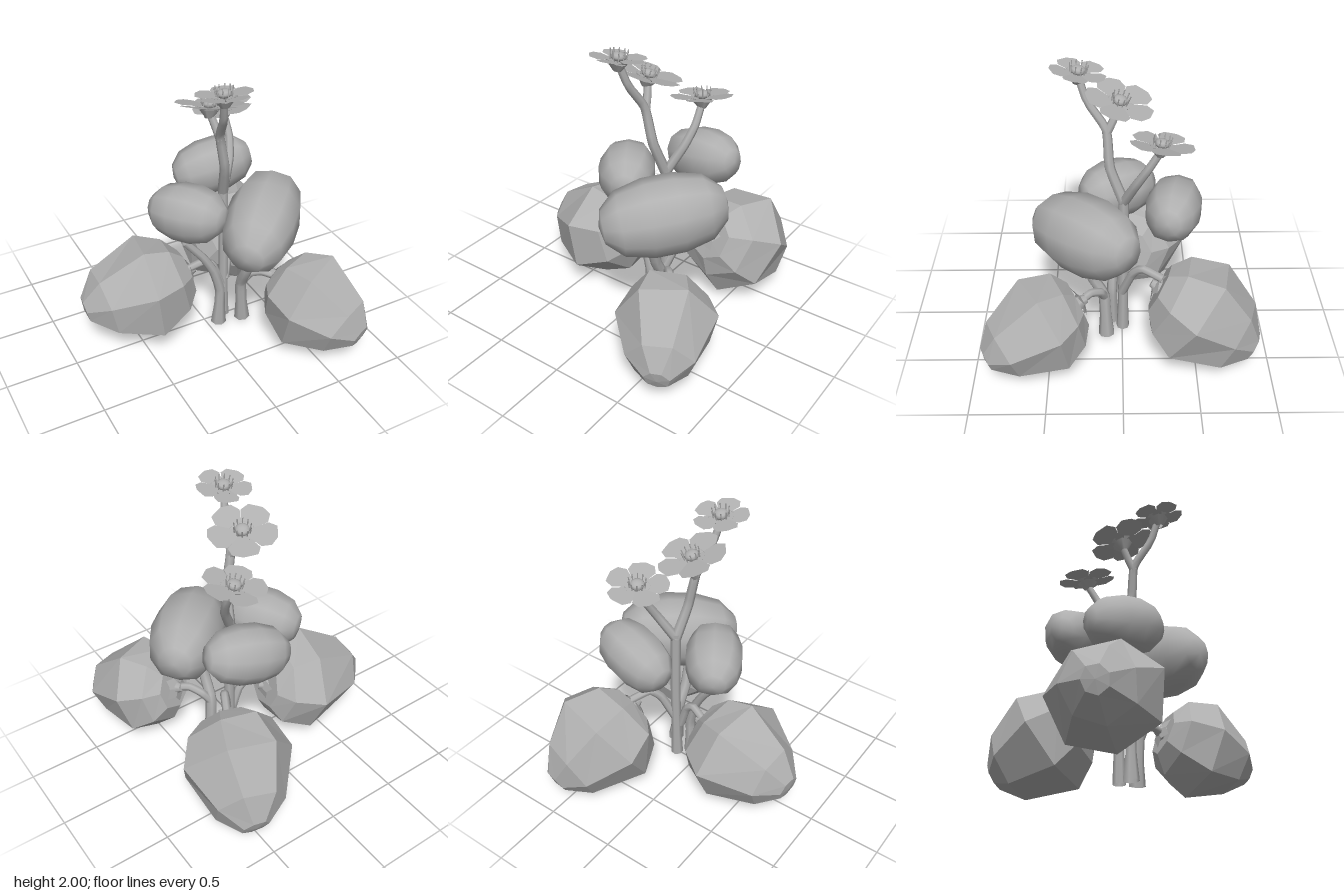
import * as THREE from 'three';
import { mergeVertices } from 'three/addons/utils/BufferGeometryUtils.js';

const grey = new THREE.MeshStandardMaterial({ color: 0xb0b0b0, side: THREE.DoubleSide });
grey.name = 'plain grey';
const UP = new THREE.Vector3(0, 1, 0);
const vec = (a) => new THREE.Vector3(...a);

function add(parent, name, geometry) {
  const mesh = new THREE.Mesh(geometry, grey);
  mesh.name = name;
  parent.add(mesh);
  return mesh;
}

// Group whose local y axis points along dir
function aimed(parent, name, pos, dir) {
  const g = new THREE.Group();
  g.name = name;
  g.position.set(...pos);
  g.quaternion.setFromUnitVectors(UP, vec(dir).normalize());
  parent.add(g);
  return g;
}

// Tapered, slightly kinked tube with an optional flared foot
function stem(parent, name, points, r0, r1, foot = 0) {
  const curve = new THREE.CatmullRomCurve3(points.map(vec), false, 'catmullrom', 0.25);
  const segs = 14, sides = 7;
  const geo = new THREE.TubeGeometry(curve, segs, 1, sides, false);
  const pos = geo.attributes.position, p = new THREE.Vector3();
  for (let i = 0; i <= segs; i++) {
    const t = i / segs, c = curve.getPointAt(t);
    const r = r0 + (r1 - r0) * t + foot * Math.max(0, 1 - t * 5);
    for (let j = 0; j <= sides; j++) {
      const k = i * (sides + 1) + j;
      p.fromBufferAttribute(pos, k).sub(c).multiplyScalar(r).add(c);
      pos.setXYZ(k, p.x, p.y, p.z);
    }
  }
  return add(parent, name, geo);
}

// Pointed leaf outline growing along +y
function leafShape(base, width, length) {
  const s = new THREE.Shape();
  s.moveTo(-base, 0);
  s.lineTo(-width, length * 0.45);
  s.lineTo(0, length);
  s.lineTo(width, length * 0.45);
  s.lineTo(base, 0);
  return s;
}

// Broad angular petal outline growing along +y
function petalShape(base, width, length) {
  const s = new THREE.Shape();
  s.moveTo(-base, 0);
  s.lineTo(-width, length * 0.55);
  s.lineTo(-width * 0.8, length * 0.88);
  s.lineTo(-width * 0.15, length);
  s.lineTo(width * 0.15, length * 0.97);
  s.lineTo(width * 0.8, length * 0.88);
  s.lineTo(width, length * 0.55);
  s.lineTo(base, 0);
  return s;
}

// Ring of flat blades around local y, lifted by the given angle
function bladeRing(parent, name, shape, radius, lift, phase, y) {
  for (let i = 0; i < 5; i++) {
    const geo = new THREE.ShapeGeometry(shape);
    geo.rotateX(Math.PI / 2 - lift);
    geo.translate(0, y + (i % 2) * 0.004, radius);
    geo.rotateY(phase + (i * Math.PI * 2) / 5);
    add(parent, name, geo);
  }
}

// Faceted fruit, base at the origin and tip along +y, with its calyx
function fruit(parent, name, pos, dir, size, length, spin) {
  const g = aimed(parent, name, pos, dir);
  const profile = [[0, 0], [0.17, 0], [0.29, 0.09], [0.38, 0.3], [0.24, 0.63], [0.09, 0.77], [0, 0.78]];
  const pts = profile.map(([r, y]) => new THREE.Vector2(r * size, (y * length) / 0.78));
  let geo = new THREE.LatheGeometry(pts, 7);
  const p = geo.attributes.position;
  for (let i = 0; i < p.count; i++) { // slight lumpiness
    const x = p.getX(i), y = p.getY(i), z = p.getZ(i), a = Math.atan2(x, z);
    const k = 1 + 0.04 * Math.sin(2 * a + y * 6 + spin);
    p.setXYZ(i, x * k, y + 0.025 * Math.sin(a + y * 9) * Math.hypot(x, z) / 0.37, z * k);
  }
  geo = geo.toNonIndexed();
  geo.computeVertexNormals();
  add(g, 'fruitBody', geo).rotation.y = spin;
  bladeRing(g, 'calyxLeaf', leafShape(0.025, 0.042, 0.1), 0.02, 0.3, spin, -0.04);
  add(g, 'calyxCup', new THREE.CylinderGeometry(0.055, 0.028, 0.07, 7)).position.y = -0.03;
}

// Smooth plump leaf: a rounded block, long along x
function plumpLeaf(parent, name, pos, half, yaw, roll) {
  let geo = new THREE.SphereGeometry(1, 10, 7);
  geo.rotateZ(Math.PI / 2);
  const p = geo.attributes.position, n = 2.45;
  for (let i = 0; i < p.count; i++) {
    const v = [p.getX(i), p.getY(i), p.getZ(i)];
    const k = Math.pow(v.reduce((s, c) => s + Math.pow(Math.abs(c), n), 0), -1 / n);
    p.setXYZ(i, ...v.map((c, j) => c * k * half[j]));
  }
  geo.deleteAttribute('uv');
  geo.deleteAttribute('normal');
  geo = mergeVertices(geo, 1e-4);
  geo.computeVertexNormals();
  const mesh = add(parent, name, geo);
  mesh.position.set(...pos);
  mesh.rotation.set(0, yaw, roll);
}

// Five-petalled flower with dome, stamens and cup
function flower(parent, name, pos, dir, r, phase) {
  const g = aimed(parent, name, pos, dir);
  bladeRing(g, 'petal', petalShape(0.03, r * 0.46, r - 0.03), 0.04, 0.12, phase, -0.02);
  add(g, 'flowerCentre', new THREE.SphereGeometry(0.05, 10, 6)).scale.y = 0.6;
  add(g, 'flowerCup', new THREE.CylinderGeometry(0.085, 0.025, 0.075, 8, 1, true)).position.y = -0.052;
  bladeRing(g, 'sepal', leafShape(0.025, 0.035, 0.08), 0.045, 0.1, phase + 0.63, -0.035);
  for (let i = 0; i < 10; i++) {
    const a = (i / 10) * Math.PI * 2;
    const s = add(g, 'stamen', new THREE.CylinderGeometry(0.004, 0.004, 0.06, 5));
    s.position.set(Math.sin(a) * 0.055, 0.015, Math.cos(a) * 0.055);
    s.rotation.set(Math.cos(a) * 0.12, 0, -Math.sin(a) * 0.12);
  }
}

export function createModel() {
  const plant = new THREE.Group();
  plant.name = 'fruitingPlant';

  // Stalks rising from the ground
  stem(plant, 'leftStalk', [[0.08, 0.02, 0.07], [0.09, 0.3, 0.07], [0.04, 0.48, 0.065], [-0.04, 0.62, 0.055], [-0.17, 0.78, 0.04]], 0.042, 0.026, 0.015);
  stem(plant, 'mainStalk', [[0.16, 0.015, -0.005], [0.16, 0.6, -0.01], [0.15, 1.12, -0.01]], 0.036, 0.036, 0.01);
  stem(plant, 'rightStalk', [[0.255, 0.03, 0.11], [0.23, 0.35, 0.125], [0.225, 0.5, 0.2], [0.24, 0.74, 0.28]], 0.044, 0.036, 0.014);

  // Fruit branches
  stem(plant, 'leftFruitBranch', [[0.13, 0.3, 0.01], [0.07, 0.48, 0], [0, 0.53, -0.01], [-0.14, 0.47, -0.05]], 0.032, 0.027);
  stem(plant, 'backFruitBranch', [[0.17, 0.34, 0], [0.24, 0.55, -0.07], [0.29, 0.63, -0.14], [0.36, 0.6, -0.27]], 0.032, 0.028);
  stem(plant, 'frontFruitBranch', [[0.23, 0.34, 0.12], [0.29, 0.43, 0.15], [0.35, 0.47, 0.22], [0.43, 0.45, 0.3]], 0.031, 0.028);

  // Fruits
  fruit(plant, 'leftFruit', [-0.12, 0.46, -0.05], [-0.97, -0.16, -0.1], 1, 0.765, 0.3);
  fruit(plant, 'backFruit', [0.365, 0.53, -0.25], [0.26, -0.47, -0.84], 1.04, 0.76, 0.9);
  fruit(plant, 'frontFruit', [0.43, 0.45, 0.3], [0.42, -0.3, 0.85], 0.92, 0.71, 0.5);

  // Plump leaves
  plumpLeaf(plant, 'frontLeaf', [0.315, 0.935, 0.245], [0.425, 0.253, 0.245], 0.78, 0.13);
  plumpLeaf(plant, 'leftLeaf', [-0.14, 1.01, 0.03], [0.28, 0.19, 0.195], -1.0, 0.08);
  plumpLeaf(plant, 'backLeaf', [0.24, 1.095, -0.335], [0.29, 0.19, 0.18], -0.2, 0.2);

  // Flower stems
  stem(plant, 'tallFlowerStem', [[0.15, 1.08, -0.01], [0.11, 1.32, 0.08], [0.06, 1.57, 0.1], [0.02, 1.75, 0.22], [-0.01, 1.9, 0.27]], 0.038, 0.025);
  stem(plant, 'middleFlowerStem', [[0.065, 1.54, 0.1], [0.05, 1.62, 0.06], [0.03, 1.7, 0.025]], 0.03, 0.025);
  stem(plant, 'lowFlowerStem', [[0.15, 1.08, -0.01], [0.24, 1.27, -0.09], [0.275, 1.4, -0.16], [0.275, 1.53, -0.235]], 0.035, 0.025);

  // Flowers
  flower(plant, 'tallFlower', [-0.01, 1.952, 0.27], [0, 1, -0.17], 0.175, 0.2);
  flower(plant, 'middleFlower', [0.03, 1.765, 0.01], [0.16, 1, -0.26], 0.22, 0.1);
  flower(plant, 'lowFlower', [0.27, 1.59, -0.245], [-0.14, 1, -0.14], 0.2, 0.45);

  return plant;
}
